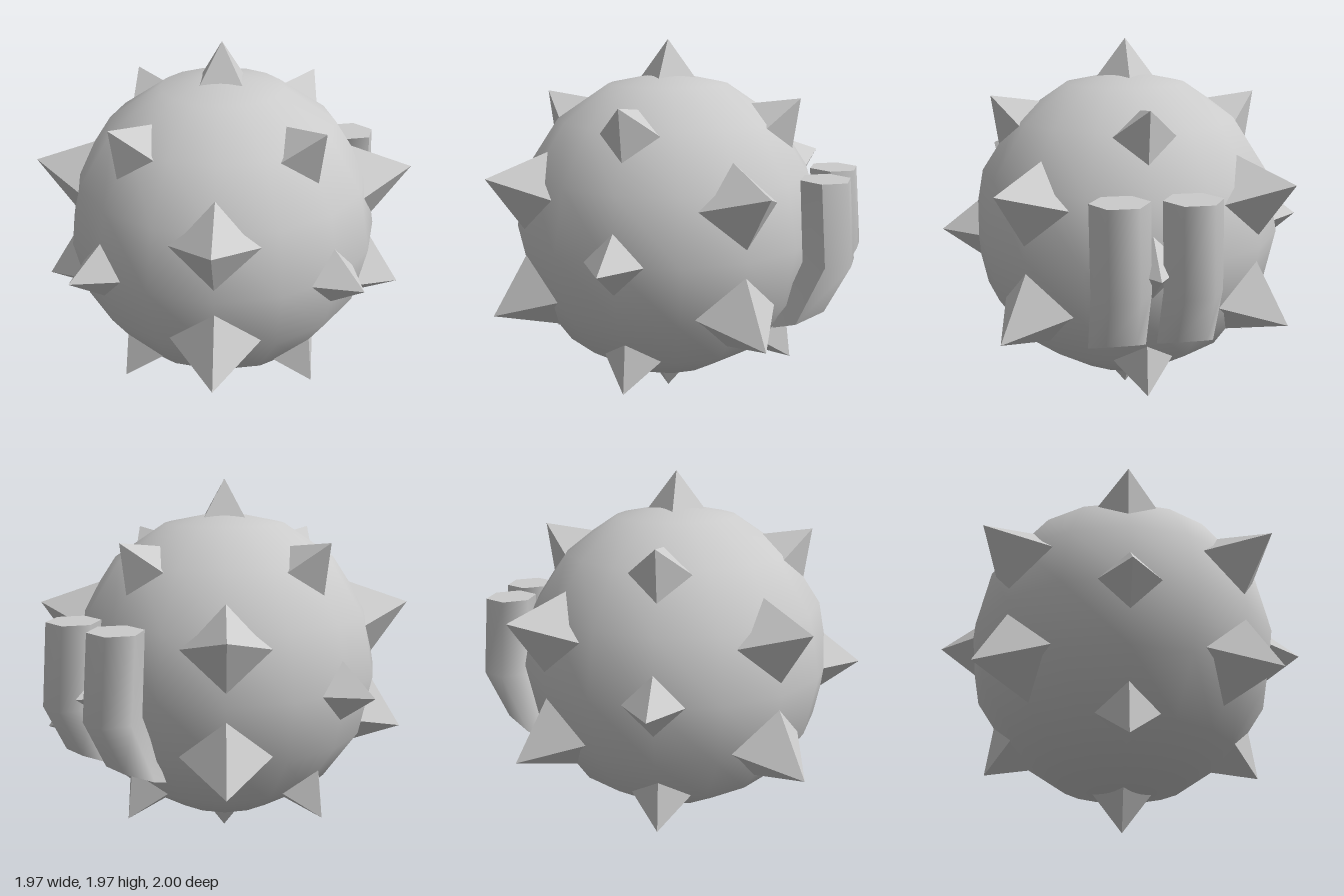
import * as THREE from 'three';

const material = new THREE.MeshStandardMaterial({ color: 0xcccccc });
const spikeMaterial = new THREE.MeshStandardMaterial({ color: 0xcccccc, flatShading: true });

// Four-sided spike whose tip lies at the given offset from the ball's centre
function makeSpike(x, y, z) {
  const tip = new THREE.Vector3(x, y, z);
  const length = tip.length();
  const base = 0.75;
  const height = length - base;
  const geometry = new THREE.ConeGeometry(0.77 * height, height, 4);
  geometry.translate(0, base + height / 2, 0);

  // Base corners point sideways and up/down along the ball
  const dir = tip.normalize();
  const side = new THREE.Vector3(dir.z, 0, -dir.x);
  if (side.lengthSq() < 1e-6) side.set(1, 0, 0);
  side.normalize();
  const third = new THREE.Vector3().crossVectors(side, dir);
  geometry.applyMatrix4(new THREE.Matrix4().makeBasis(side, dir, third));
  const mesh = new THREE.Mesh(geometry, spikeMaterial);
  mesh.name = 'spike';
  return mesh;
}

// Bent hexagonal pipe on the back; rings run from the top to the bottom
function makePipe(centreX) {
  const rings = [
    { y: 1.32, z: -0.847, dy: 0, dz: 0.112 },
    { y: 0.91, z: -0.882, dy: 0, dz: 0.118 },
    { y: 0.60, z: -0.753, dy: -0.06, dz: 0.1275 },
  ];
  const geometry = new THREE.CylinderGeometry(1, 1, 2, 6, 2, false, Math.PI / 2);
  const p = geometry.attributes.position;
  for (let i = 0; i < p.count; i++) {
    const ring = rings[Math.round(1 - p.getY(i))];
    const depth = p.getZ(i) / Math.cos(Math.PI / 6);
    p.setXYZ(i, centreX + p.getX(i) * 0.137, ring.y + depth * ring.dy, ring.z + depth * ring.dz);
  }
  geometry.computeVertexNormals();
  const mesh = new THREE.Mesh(geometry, material);
  mesh.name = centreX > 0 ? 'leftPipe' : 'rightPipe';
  return mesh;
}

export function createModel() {
  const model = new THREE.Group();
  model.name = 'spikedBall';

  const ball = new THREE.Group();
  ball.name = 'ball';
  ball.position.set(0, 0.988, 0.015);
  const body = new THREE.Mesh(new THREE.SphereGeometry(0.82, 16, 8), material);
  body.name = 'body';
  ball.add(body);

  // Spikes on the axes, on the upper and lower diagonals, and at the corners
  const axis = 0.983, diagonal = 0.7;
  for (const s of [-1, 1]) {
    ball.add(makeSpike(s * axis, 0, 0), makeSpike(0, s * axis, 0), makeSpike(0, 0, s * axis));
    for (const t of [-1, 1]) {
      ball.add(makeSpike(s * diagonal, t * diagonal, 0), makeSpike(0, t * diagonal, s * diagonal));
      ball.add(makeSpike(s * diagonal, 0.335, t * diagonal), makeSpike(s * diagonal, -0.375, t * diagonal));
    }
  }
  model.add(ball);

  // Pair of pipes on the back
  for (const s of [-1, 1]) model.add(makePipe(s * 0.163));
  return model;
}
